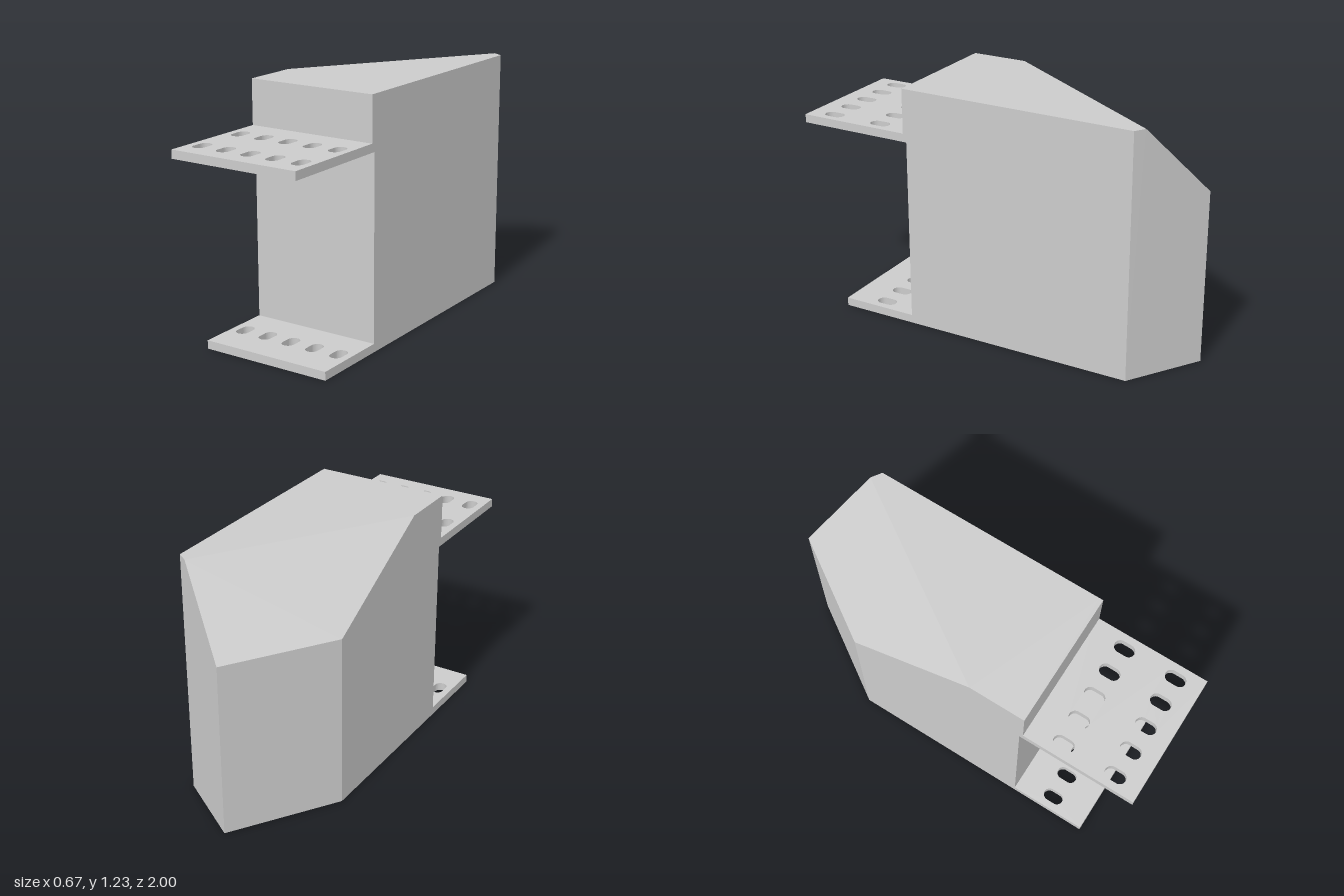
import * as THREE from 'three';
import { ConvexGeometry } from 'three/addons/geometries/ConvexGeometry.js';

const HALF = 0.336;    // half width of the whole bracket
const FRONT = 0.407;   // front face of the body
const TOP = 1.225;
const THICK = 0.042;   // flange thickness
const material = new THREE.MeshStandardMaterial({ color: 0xcccccc });

function addMesh(group, name, geometry) {
  const mesh = new THREE.Mesh(geometry, material);
  mesh.name = name;
  group.add(mesh);
  return mesh;
}

// Rounded slot outline, elongated along the flange depth
function slot(x, z, radius = 0.031, halfLength = 0.052) {
  const path = new THREE.Path();
  const d = halfLength - radius;
  path.absarc(x, z + d, radius, 0, Math.PI, false);
  path.absarc(x, z - d, radius, Math.PI, Math.PI * 2, false);
  path.closePath();
  return path;
}

// Horizontal plate from the body out to zEnd, with rows of five slots
function flange(zEnd, bottomY, rows) {
  const shape = new THREE.Shape([
    new THREE.Vector2(-HALF, FRONT), new THREE.Vector2(HALF, FRONT),
    new THREE.Vector2(HALF, zEnd), new THREE.Vector2(-HALF, zEnd),
  ]);
  for (const z of rows) {
    for (let i = -2; i <= 2; i++) shape.holes.push(slot(i * 0.135, z));
  }
  const geometry = new THREE.ExtrudeGeometry(shape, { depth: THICK, bevelEnabled: false, curveSegments: 12 });
  geometry.rotateX(Math.PI / 2);   // shape y becomes z, thickness runs downwards
  geometry.translate(0, bottomY + THICK, 0);
  return geometry;
}

export function createModel() {
  const group = new THREE.Group();
  group.name = 'bracket';

  // Solid body: pointed footprint with one sloping cut across the rear top
  const footprint = [[-HALF, FRONT], [HALF, FRONT], [HALF, -0.77], [-0.01, -1], [-HALF, -0.506]];
  const upper = [
    [-HALF, TOP, FRONT], [HALF, TOP, FRONT], [HALF, TOP, -0.77],
    [0.285, TOP, -0.804], [-HALF, TOP, 0.14],
    [-0.01, 0.87, -1], [-HALF, 0.87, -0.506],
  ];
  const corners = [...footprint.map(([x, z]) => [x, 0, z]), ...upper];
  addMesh(group, 'body', new ConvexGeometry(corners.map((p) => new THREE.Vector3(...p))));

  // Upper front face stands slightly proud above the top flange
  const flangeY = 0.96;
  const lipBase = flangeY + THICK;
  const lipDepth = 0.018;
  addMesh(group, 'frontLip', new THREE.BoxGeometry(HALF * 2, TOP - lipBase, lipDepth))
    .position.set(0, (TOP + lipBase) / 2, FRONT + lipDepth / 2);

  // Slotted mounting flanges
  addMesh(group, 'topFlange', flange(1, flangeY, [0.6, 0.87]));
  addMesh(group, 'bottomFlange', flange(0.8, 0, [0.6]));

  return group;
}
